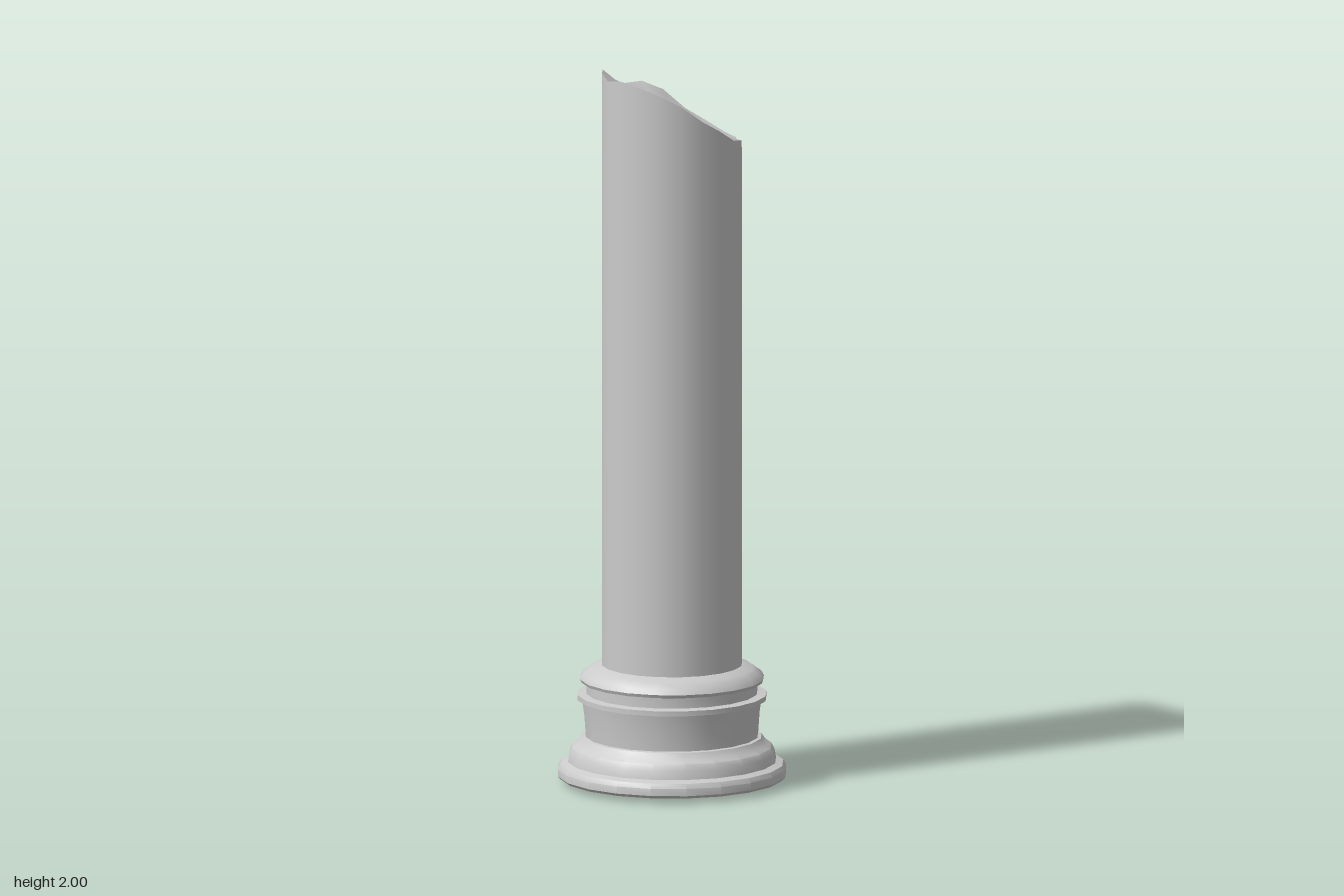
import * as THREE from 'three';
import { toCreasedNormals } from 'three/addons/utils/BufferGeometryUtils.js';

const SIDES = 20;
const SHAFT_RADIUS = 0.195;

// Heights of the broken rim, from the front (+z) round through +x
const RIM = [1.97, 1.94, 1.895, 1.86, 1.825, 1.815, 1.772, 1.8, 1.807, 1.83,
  1.86, 1.913, 1.94, 1.94, 1.966, 2, 2, 1.99, 2, 1.99];

// Base mouldings, radius and height from the underside up
const BASE_PROFILE = [
  [0, 0], [0.31, 0.014], [0.318, 0.022], [0.318, 0.042], [0.31, 0.055], [0.29, 0.062],
  [0.286, 0.085], [0.277, 0.103], [0.262, 0.112], [0.25, 0.13],
  [0.24, 0.132], [0.244, 0.19], [0.25, 0.234],
  [0.263, 0.236], [0.263, 0.25], [0.238, 0.253], [0.238, 0.282],
  [0.252, 0.285], [0.256, 0.294], [0.248, 0.308], [0.225, 0.324], [0.194, 0.333],
];

export function createModel() {
  const group = new THREE.Group();
  const material = new THREE.MeshStandardMaterial({ color: 0xcccccc });
  const add = (name, geometry) => {
    const mesh = new THREE.Mesh(geometry, material);
    mesh.name = name;
    group.add(mesh);
  };

  // Moulded base
  const points = BASE_PROFILE.map(([r, y]) => new THREE.Vector2(r, y));
  add('base', toCreasedNormals(new THREE.LatheGeometry(points, SIDES), 0.6));

  // Shaft: an open cylinder whose upper ring follows the broken rim
  const bottom = 0.32;
  const shaft = new THREE.CylinderGeometry(SHAFT_RADIUS, SHAFT_RADIUS, 1, SIDES, 1, true);
  const pos = shaft.attributes.position;
  for (let i = 0; i < pos.count; i++) {
    pos.setY(i, i <= SIDES ? RIM[i % SIDES] : bottom);
  }
  add('shaft', shaft);

  // Broken top: a fan from the rim to a sunken centre
  const vertices = [0, 1.85, 0];
  const faces = [];
  RIM.forEach((y, i) => {
    const a = (i / SIDES) * Math.PI * 2;
    vertices.push(SHAFT_RADIUS * Math.sin(a), y, SHAFT_RADIUS * Math.cos(a));
    faces.push(0, i + 1, ((i + 1) % SIDES) + 1);
  });
  const top = new THREE.BufferGeometry();
  top.setAttribute('position', new THREE.Float32BufferAttribute(vertices, 3));
  top.setIndex(faces);
  top.computeVertexNormals();
  add('brokenTop', top);

  return group;
}
